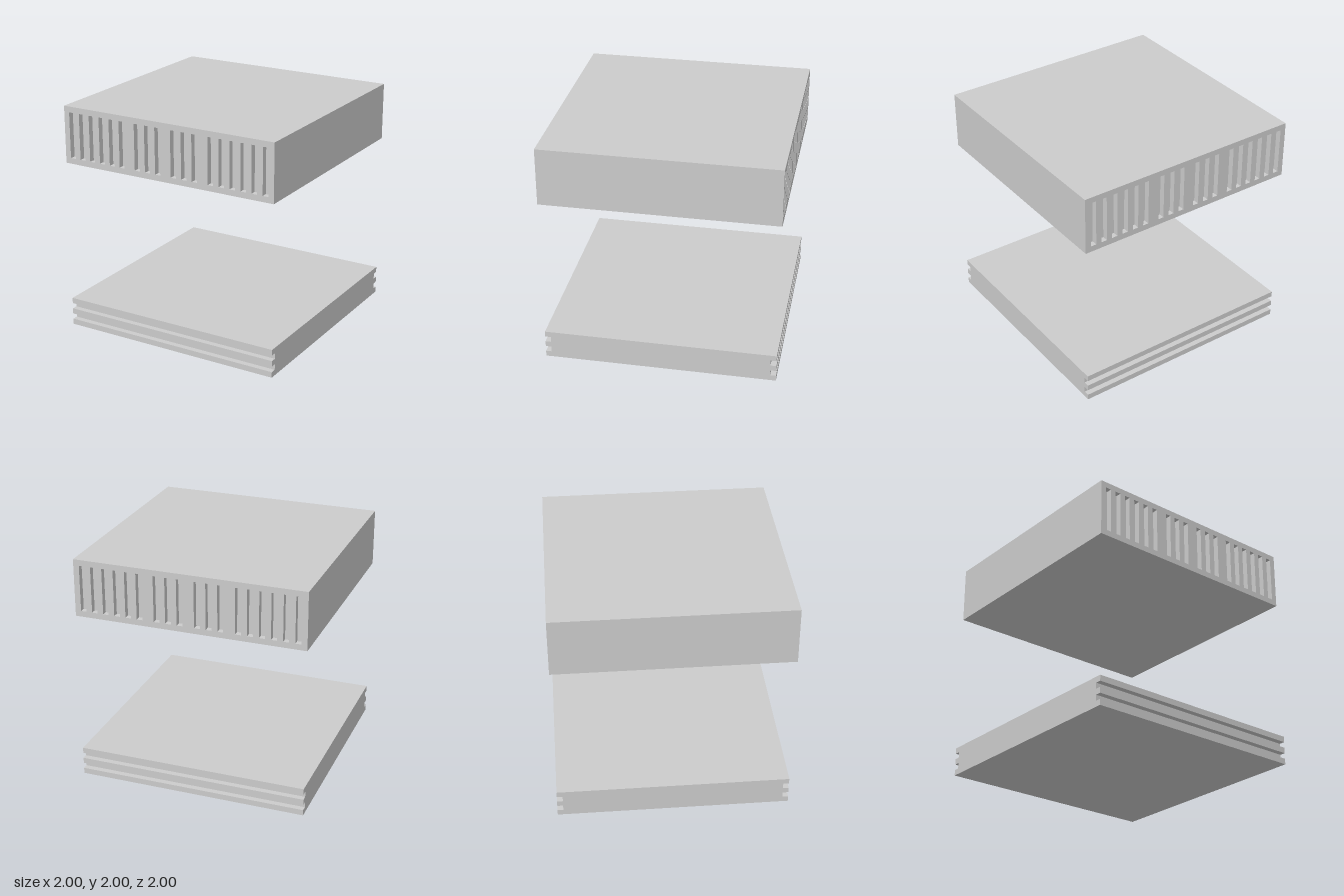
import * as THREE from 'three';

const material = new THREE.MeshStandardMaterial({ color: 0xcccccc, flatShading: true });
const DEPTH = 0.05; // depth of slots and grooves

function part(name, geometry) {
  const mesh = new THREE.Mesh(geometry, material);
  mesh.name = name;
  return mesh;
}

function polygon(points, Type = THREE.Shape) {
  return new Type(points.map(([x, y]) => new THREE.Vector2(x, y)));
}

// Lower slab: a side profile with two grooves front and back, extruded across x
function createBase() {
  const front = [[1, 0]];
  for (const y of [0.05, 0.15]) {
    front.push([1, y], [1 - DEPTH, y], [1 - DEPTH, y + 0.05], [1, y + 0.05]);
  }
  front.push([1, 0.25]);
  const back = front.map(([z, y]) => [-z, y]).reverse();
  const geometry = new THREE.ExtrudeGeometry(polygon([...front, ...back]), { depth: 2, bevelEnabled: false });
  geometry.rotateY(-Math.PI / 2).translate(1, 0, 0);
  return part('groovedBase', geometry);
}

// Plate pierced by groups of upright slots, mirrored about x = 0
function createSlottedPlate() {
  const shape = polygon([[-1, 1.5], [1, 1.5], [1, 2], [-1, 2]]);
  for (const [start, count] of [[0.05, 3], [0.4, 6]]) {
    for (let i = 0; i < count; i++) {
      const x = start + i * 0.1;
      for (const left of [x, -x - 0.05]) {
        const right = left + 0.05;
        shape.holes.push(polygon([[left, 1.55], [left, 1.95], [right, 1.95], [right, 1.55]], THREE.Path));
      }
    }
  }
  return new THREE.ExtrudeGeometry(shape, { depth: DEPTH, bevelEnabled: false });
}

// Upper block: solid core with a slotted plate on the front and back
function createTop() {
  const top = new THREE.Group();
  top.name = 'slottedTop';
  const core = new THREE.BoxGeometry(2, 0.5, 2 - 2 * DEPTH).translate(0, 1.75, 0);
  const plate = createSlottedPlate();
  top.add(
    part('core', core),
    part('frontSlots', plate.clone().translate(0, 0, 1 - DEPTH)),
    part('backSlots', plate.clone().translate(0, 0, -1)),
  );
  return top;
}

export function createModel() {
  const model = new THREE.Group();
  model.name = 'slottedBlocks';
  model.add(createBase(), createTop());
  return model;
}
